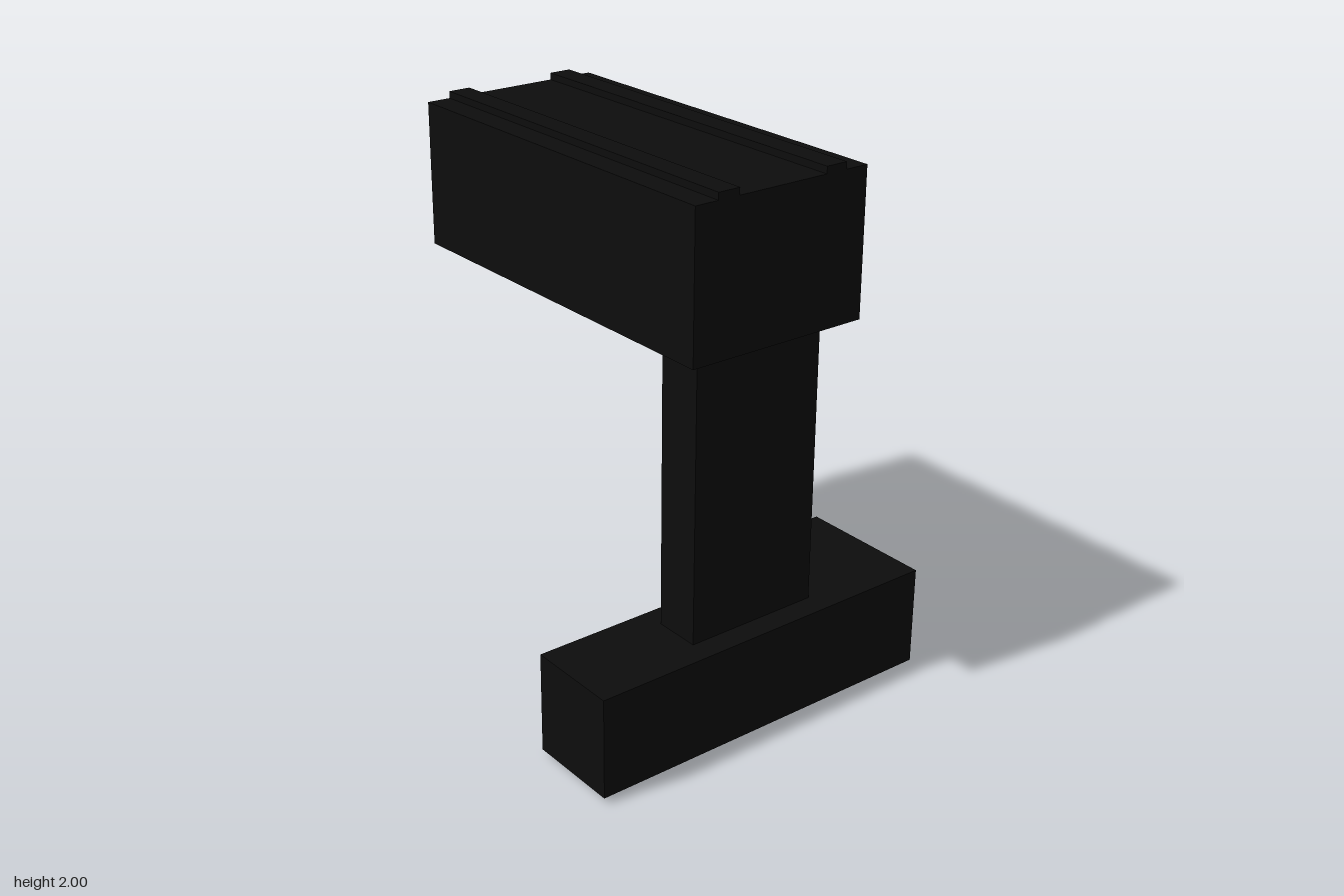
import * as THREE from 'three';

export function createModel() {
  const model = new THREE.Group();
  const black = new THREE.MeshStandardMaterial({ color: 0x0d0d0d });
  black.name = 'black';

  // Box given by its lower and upper limits on each axis
  function box(name, [x0, x1], [y0, y1], [z0, z1]) {
    const mesh = new THREE.Mesh(new THREE.BoxGeometry(x1 - x0, y1 - y0, z1 - z0), black);
    mesh.position.set((x0 + x1) / 2, (y0 + y1) / 2, (z0 + z1) / 2);
    mesh.name = name;
    model.add(mesh);
  }

  // Base with a side housing at its rear end
  box('base', [0.393, 0.745], [0.022, 0.397], [-0.7, 0.7]);
  box('sideHousing', [0.218, 0.393], [0.135, 0.397], [-0.7, -0.44]);

  // Upright column and overhanging head
  box('column', [0.48, 0.655], [0.397, 1.45], [-0.26, 0.26]);
  box('head', [-0.745, 0.745], [1.45, 1.975], [-0.35, 0.35]);

  // Mirrored rails on the head and wheels sunk in the base
  for (const side of [-1, 1]) {
    const z = side * 0.219;
    box('topRail', [-0.745, 0.745], [1.975, 2], [z - 0.042, z + 0.042]);

    const radius = 0.13;
    const geometry = new THREE.CylinderGeometry(radius, radius, 0.175, 12);
    geometry.rotateY(Math.PI / 12).rotateZ(Math.PI / 2);
    geometry.computeBoundingBox();
    const wheel = new THREE.Mesh(geometry, black);
    wheel.position.set(0.5675, -geometry.boundingBox.min.y, side * 0.525);
    wheel.name = 'wheel';
    model.add(wheel);
  }
  return model;
}
